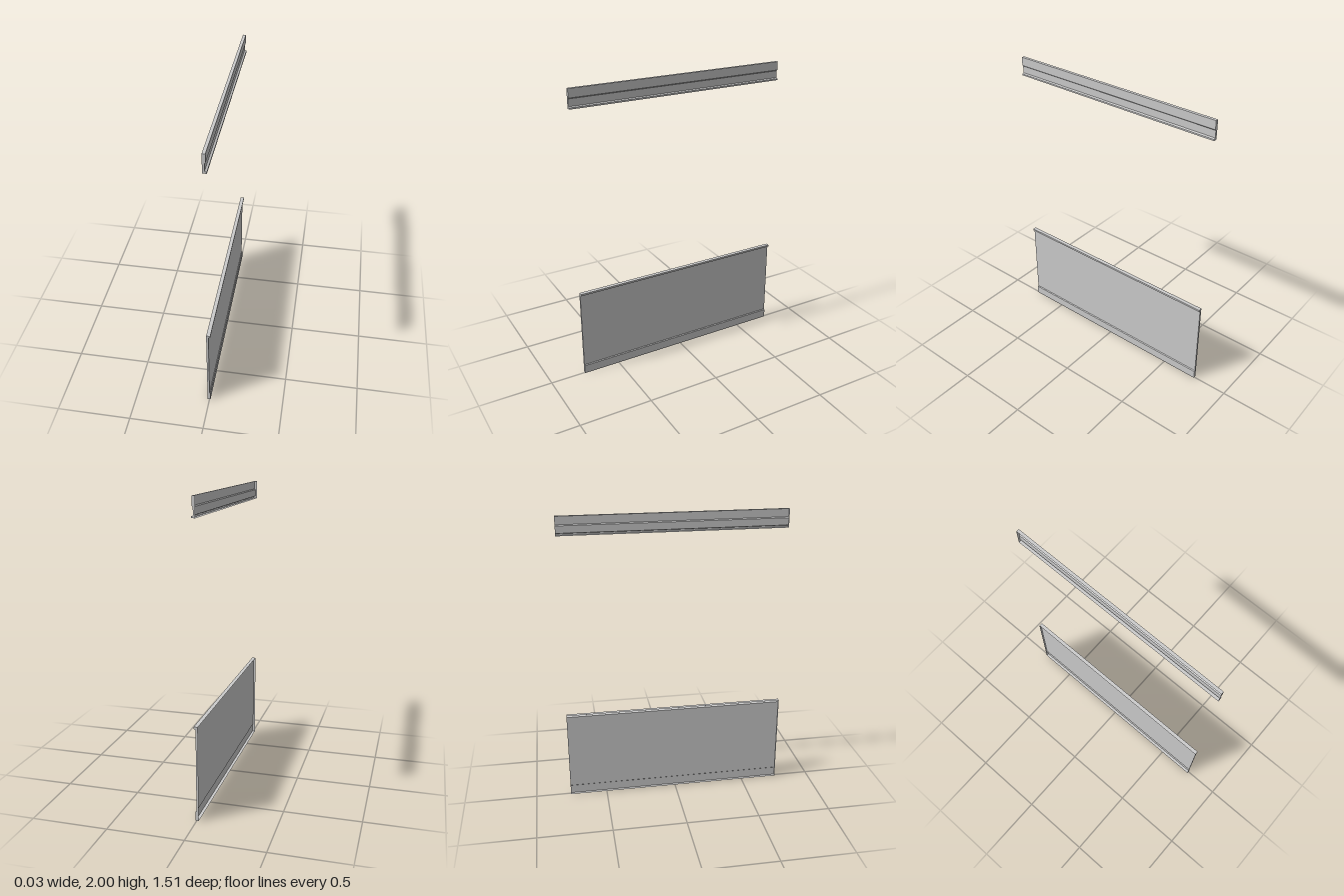
import * as THREE from 'three';

const HALF = 0.757; // half length along z
const BACK = -0.013, FACE = 0.001, BAND = 0.007, LIP = 0.013; // depths in x

const material = new THREE.MeshStandardMaterial({
  color: 0xcccccc, flatShading: true, side: THREE.DoubleSide,
});

// Folded sheet: an open profile (x, y) swept along z
function sweep(profile) {
  const v = [];
  for (let i = 0; i < profile.length - 1; i++) {
    const [ax, ay] = profile[i], [bx, by] = profile[i + 1];
    v.push(ax, ay, -HALF, bx, by, -HALF, bx, by, HALF);
    v.push(ax, ay, -HALF, bx, by, HALF, ax, ay, HALF);
  }
  const geometry = new THREE.BufferGeometry();
  geometry.setAttribute('position', new THREE.Float32BufferAttribute(v, 3));
  geometry.computeVertexNormals();
  return geometry;
}

// Shallow tray open at the back, with closed ends
function tray(name, profile) {
  const group = new THREE.Group();
  group.name = name;
  const sheet = new THREE.Mesh(sweep(profile), material);
  sheet.name = name + 'Sheet';
  group.add(sheet);

  const shape = new THREE.Shape(profile.map(([x, y]) => new THREE.Vector2(x, y)));
  for (const side of [1, -1]) {
    const cap = new THREE.Mesh(new THREE.ShapeGeometry(shape), material);
    if (side < 0) cap.geometry.scale(1, 1, -1).setIndex([...cap.geometry.index.array].reverse());
    cap.geometry.computeVertexNormals();
    cap.position.z = side * HALF;
    cap.name = side > 0 ? 'frontEnd' : 'backEnd';
    group.add(cap);
  }
  return group;
}

export function createModel() {
  const model = new THREE.Group();
  model.name = 'wallPanelling';

  // Lower panel: skirting band at the foot, lip along the top
  model.add(tray('lowerPanel', [
    [BACK, 0], [BAND, 0], [BAND, 0.06], [FACE, 0.065],
    [FACE, 0.607], [LIP, 0.612], [LIP, 0.625], [BACK, 0.625],
  ]));

  // Upper trim: lip along the bottom, raised band at the top
  model.add(tray('upperTrim', [
    [BACK, 1.875], [LIP, 1.875], [LIP, 1.885], [FACE, 1.89],
    [FACE, 1.937], [BAND, 1.943], [BAND, 2], [BACK, 2],
  ]));
  return model;
}
